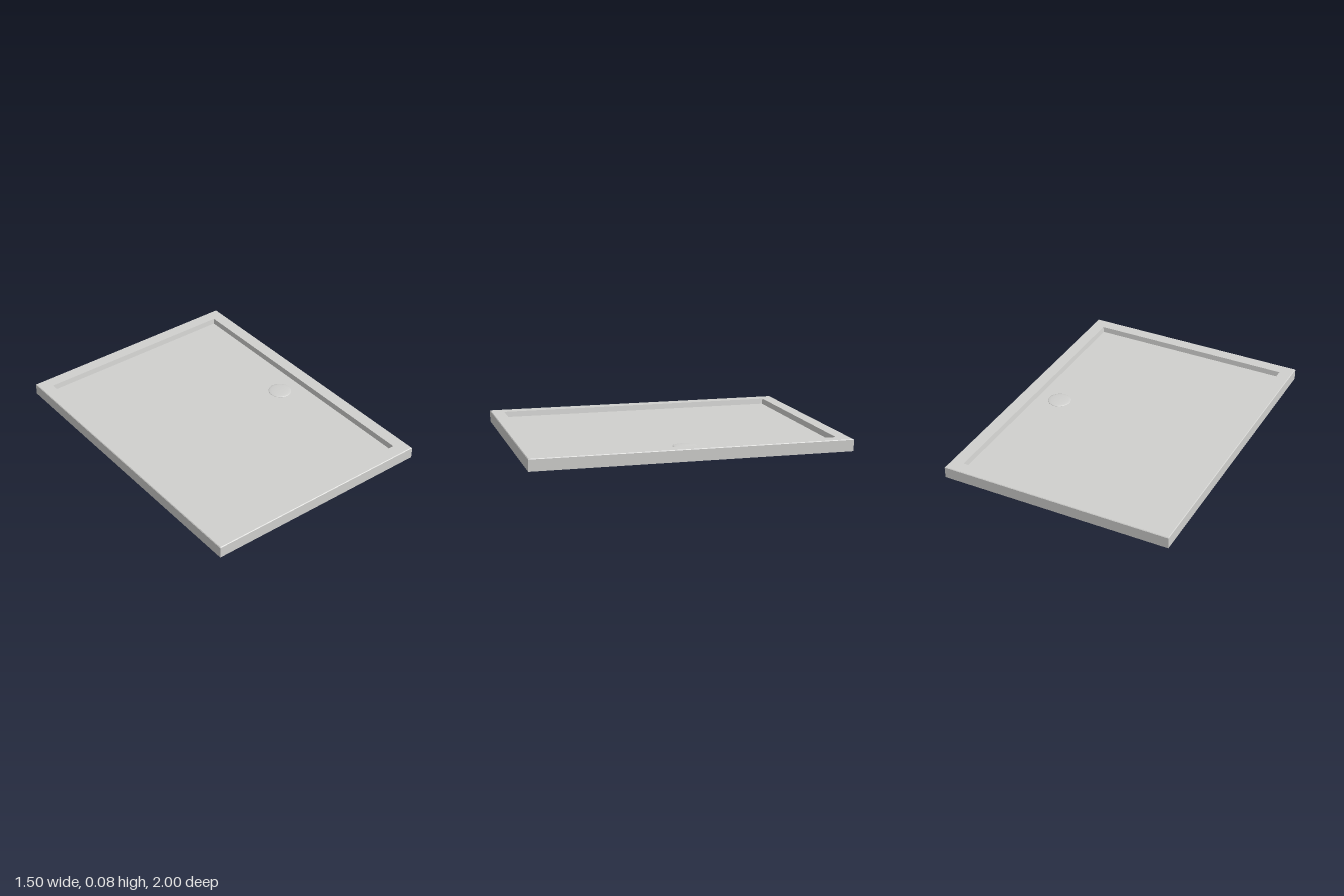
import * as THREE from 'three';

// Sheet swept through rectangular rings [halfX, halfZ, y], closed by the last ring
function ringShell(rings) {
  const corners = rings.map(([x, z, y]) => [[x, y, z], [x, y, -z], [-x, y, -z], [-x, y, z]]);
  const pos = [];
  const quad = (a, b, c, d) => pos.push(...a, ...b, ...c, ...a, ...c, ...d);
  for (let r = 0; r < corners.length - 1; r++) {
    const lo = corners[r], hi = corners[r + 1];
    for (let i = 0; i < 4; i++) {
      const j = (i + 1) % 4;
      quad(lo[i], lo[j], hi[j], hi[i]);
    }
  }
  quad(...corners[corners.length - 1]);
  const g = new THREE.BufferGeometry();
  g.setAttribute('position', new THREE.Float32BufferAttribute(pos, 3));
  g.computeVertexNormals();
  return g;
}

export function createModel() {
  const group = new THREE.Group();
  const enamel = new THREE.MeshStandardMaterial({ color: 0xd0d0ce, side: THREE.DoubleSide });
  enamel.name = 'light grey enamel';

  const add = (name, geometry, x = 0, y = 0, z = 0) => {
    const mesh = new THREE.Mesh(geometry, enamel);
    mesh.name = name;
    mesh.position.set(x, y, z);
    group.add(mesh);
  };

  // Tray: thin skirt, chamfered rim, steep step down to the floor; open underneath
  const floorY = 0.04;
  add('tray', ringShell([
    [0.75, 1, 0],
    [0.75, 1, 0.071],
    [0.746, 0.996, 0.075],
    [0.667, 0.917, 0.075],
    [0.662, 0.912, floorY],
  ]));

  // Drain: shallow domed cover above the floor, waste cup below it
  const radius = 0.075;
  const dome = [[radius, 0], [radius, 0.002], [0.069, 0.004], [0.055, 0.006], [0.03, 0.0075], [0, 0.008]];
  add('drainCover', new THREE.LatheGeometry(dome.map(([r, y]) => new THREE.Vector2(r, y)), 40), 0.515, floorY, 0);
  const cupHeight = 0.03;
  add('drainCup', new THREE.CylinderGeometry(radius, radius, cupHeight, 40), 0.515, floorY - cupHeight / 2 - 0.001, 0);

  return group;
}
